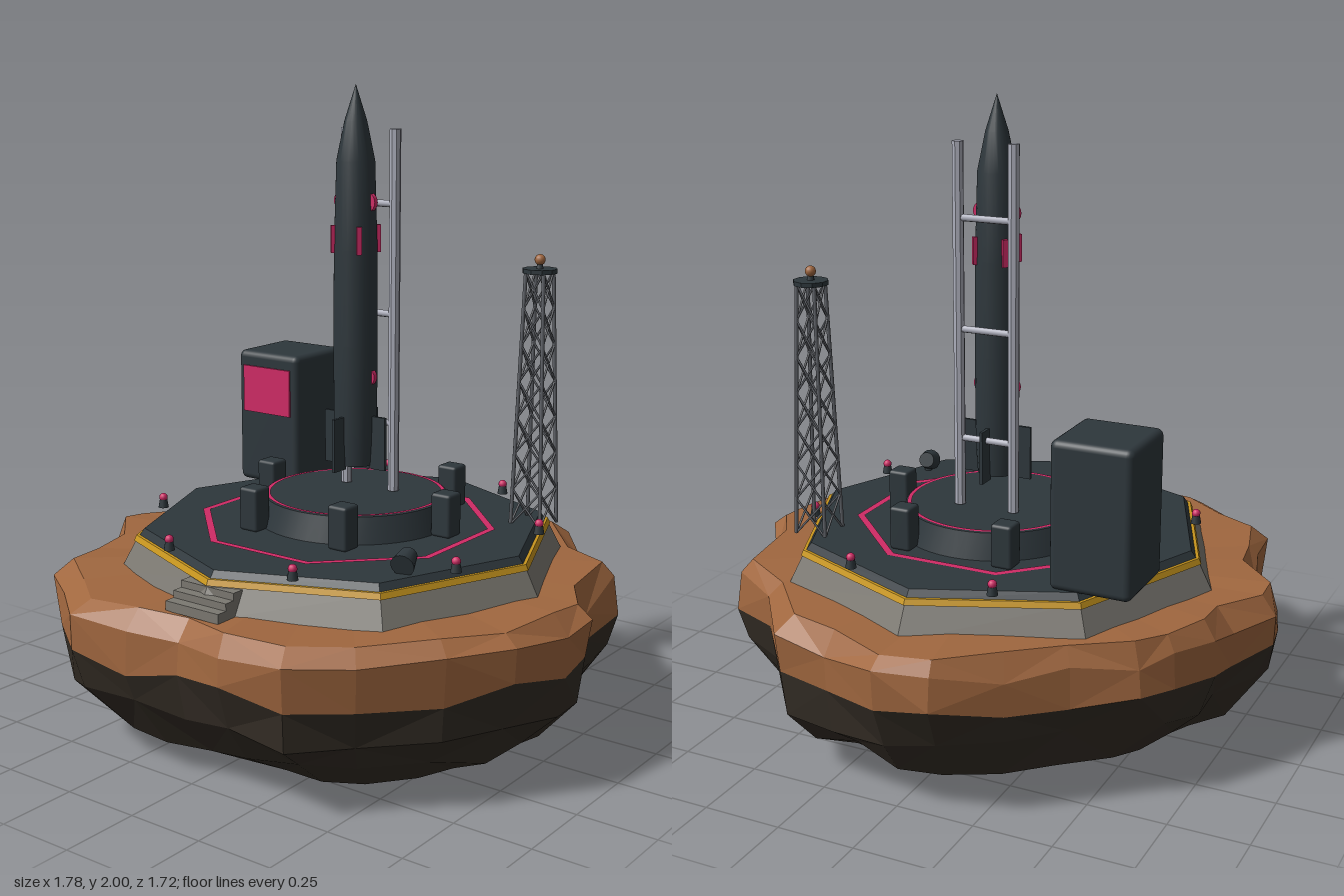
import * as THREE from 'three';
import { toCreasedNormals } from 'three/addons/utils/BufferGeometryUtils.js';
import { RoundedBoxGeometry } from 'three/addons/geometries/RoundedBoxGeometry.js';

const mat = (name, color) => Object.assign(new THREE.MeshStandardMaterial({ color }), { name });

export function createModel() {
  const M = {
    clay: mat('clay', 0xa0673f),
    darkRock: mat('dark rock', 0x352e26),
    concrete: mat('concrete', 0x7c7972),
    dark: mat('dark metal', 0x2e373c),
    pink: mat('pink', 0xd02b66),
    yellow: mat('yellow', 0xc8961e),
    silver: mat('silver', 0xacaebb),
    lattice: mat('lattice grey', 0x62656b),
  };
  const root = new THREE.Group();
  root.name = 'launchPadIsland';

  const add = (name, geo, material, x = 0, y = 0, z = 0, parent = root) => {
    const mesh = new THREE.Mesh(geo, material);
    mesh.name = name;
    mesh.position.set(x, y, z);
    parent.add(mesh);
    return mesh;
  };
  const group = (name, x, y, z) => {
    const g = new THREE.Group();
    g.name = name;
    g.position.set(x, y, z);
    root.add(g);
    return g;
  };
  const faceted = (geo) => {
    const g = geo.index ? geo.toNonIndexed() : geo;
    g.computeVertexNormals();
    return g;
  };
  const cyl = (rt, rb, h, n) => new THREE.CylinderGeometry(rt, rb, h, n);
  // thin rod between two points
  const rod = (name, a, b, r, material, parent) => {
    const d = b.clone().sub(a);
    const m = add(name, cyl(r, r, d.length(), 6), material, 0, 0, 0, parent);
    m.position.copy(a).add(b).multiplyScalar(0.5);
    m.quaternion.setFromUnitVectors(new THREE.Vector3(0, 1, 0), d.normalize());
    return m;
  };
  let seed = 7;
  const rand = () => {
    seed = (seed * 16807) % 2147483647;
    return seed / 2147483647 - 0.5;
  };

  // Floating rock: plan outline (x, z) scaled ring by ring
  const outline = [
    [0.01, -0.87], [-0.16, -0.85], [-0.33, -0.71], [-0.48, -0.58], [-0.65, -0.46], [-0.72, -0.36],
    [-0.79, -0.21], [-0.80, -0.09], [-0.90, 0.06], [-0.89, 0.15], [-0.76, 0.31], [-0.72, 0.46],
    [-0.69, 0.63], [-0.53, 0.75], [-0.37, 0.86], [-0.16, 0.85], [0.01, 0.82], [0.19, 0.85],
    [0.40, 0.83], [0.56, 0.70], [0.73, 0.51], [0.85, 0.34], [0.90, 0.12], [0.90, 0.00],
    [0.82, -0.14], [0.77, -0.42], [0.58, -0.53], [0.40, -0.76], [0.22, -0.80],
  ];
  const n = outline.length;
  // [height, scale, height jitter, scale jitter, x shift]
  const levels = [
    [0.0, 0.62, 0, 0.05, 0.05], [0.1, 0.82, 0.05, 0.05, 0.01], [0.22, 0.94, 0.06, 0.05, 0],
    [0.355, 0.985, 0.055, 0.03, 0], [0.46, 0.985, 0.05, 0.03, 0], [0.52, 0.93, 0.015, 0.03, 0],
  ];
  const rings = levels.map(([y, s, jy, js, dx]) => outline.map(([x, z]) => {
    const k = s + rand() * js;
    return [x * k + dx, y + rand() * jy, z * k];
  }));
  const rockGeometry = (rs, cap) => {
    const p = [];
    for (let r = 0; r < rs.length - 1; r++) {
      for (let i = 0; i < n; i++) {
        const j = (i + 1) % n;
        const [a, b, c, d] = [rs[r][i], rs[r][j], rs[r + 1][j], rs[r + 1][i]];
        if ((i + r) % 2) p.push(...a, ...b, ...c, ...a, ...c, ...d);
        else p.push(...a, ...b, ...d, ...b, ...c, ...d);
      }
    }
    for (let i = 0; i < n; i++) {
      const j = (i + 1) % n;
      if (cap === 'top') p.push(0, 0.525, 0, ...rs.at(-1)[i], ...rs.at(-1)[j]);
      else p.push(0, 0, 0, ...rs[0][j], ...rs[0][i]);
    }
    const g = new THREE.BufferGeometry();
    g.setAttribute('position', new THREE.Float32BufferAttribute(p, 3));
    g.computeVertexNormals();
    return g;
  };
  add('rockUnderside', rockGeometry(rings.slice(0, 4), 'bottom'), M.darkRock);
  add('rockTop', rockGeometry(rings.slice(3), 'top'), M.clay);

  // Octagonal pad
  const C = 0.02;
  add('foundation', faceted(cyl(0.66, 0.717, 0.11, 8)), M.concrete, C, 0.555, C);
  add('hazardStripe', faceted(cyl(0.664, 0.672, 0.018, 8)), M.yellow, C, 0.606, C);
  add('deck', faceted(cyl(0.638, 0.656, 0.024, 8)), M.dark, C, 0.624, C);
  const octagon = new THREE.RingGeometry(0.456, 0.48, 8, 1, Math.PI / 8).rotateX(-Math.PI / 2);
  add('deckOctagonLine', octagon, M.pink, C, 0.639, C);
  for (let i = 0; i < 3; i++) {
    const h = 0.03 + i * 0.022;
    add('step', new THREE.BoxGeometry(0.2, h, 0.04), M.concrete, C, 0.52 + h / 2, 0.737 - i * 0.034);
  }

  // Round launch base with six clamps
  const Z = -0.033;
  add('launchBase', toCreasedNormals(cyl(0.292, 0.318, 0.085, 48), 0.6), M.dark, C, 0.6745, Z);
  add('launchBaseRing', new THREE.RingGeometry(0.274, 0.287, 64).rotateX(-Math.PI / 2), M.pink, C, 0.72, Z);
  for (let i = 0; i < 6; i++) {
    const a = (i * Math.PI) / 3;
    add('clamp', new RoundedBoxGeometry(0.07, 0.138, 0.07, 2, 0.01), M.dark,
      C + 0.345 * Math.cos(a), 0.703, Z + 0.345 * Math.sin(a));
  }

  // Rocket
  const rocket = group('rocket', 0.022, 0, Z + 0.005);
  const profile = [[0, 0.815], [0.062, 0.815], [0.068, 0.9], [0.07, 1.2], [0.068, 1.5], [0.06, 1.77], [0.035, 1.89], [0, 2]];
  const hull = new THREE.LatheGeometry(profile.map(([x, y]) => new THREE.Vector2(x, y)), 24);
  add('hull', toCreasedNormals(hull, 0.6), M.dark, 0, 0, 0, rocket);
  for (let i = 0; i < 4; i++) {
    const a = (i * Math.PI) / 2;
    const fin = add('fin', new THREE.BoxGeometry(0.06, 0.17, 0.01), M.dark,
      0.087 * Math.cos(a), 0.89, -0.087 * Math.sin(a), rocket);
    fin.rotation.y = a;
    const b = a + Math.PI / 4;
    const plate = add('sidePlate', new THREE.BoxGeometry(0.016, 0.085, 0.016), M.pink,
      0.07 * Math.cos(b), 1.53, -0.07 * Math.sin(b), rocket);
    plate.rotation.y = b;
  }
  for (const s of [-1, 1]) {
    for (const y of [1.1, 1.645]) {
      add('sideDisc', cyl(0.03, 0.03, 0.016, 20).rotateX(Math.PI / 2), M.pink, s * 0.048, y, 0, rocket);
    }
  }

  // Gantry: two posts and three crossbars
  const gantry = group('gantry', 0.019, 0, -0.111);
  for (const s of [-1, 1]) {
    add('gantryPost', faceted(cyl(0.018, 0.018, 1.145, 8)), M.silver, s * 0.093, 1.2925, 0, gantry);
  }
  for (const y of [0.94, 1.29, 1.635]) {
    add('gantryBar', cyl(0.011, 0.011, 0.2, 8).rotateZ(Math.PI / 2), M.silver, 0, y, 0, gantry);
  }

  // Lattice tower
  const tower = group('latticeTower', 0.512, 0, -0.317);
  const corner = (i, t) => {
    const h = 0.053 - 0.022 * t;
    const [sx, sz] = [[1, 1], [1, -1], [-1, -1], [-1, 1]][i % 4];
    return new THREE.Vector3(sx * h, 0.632 + 0.805 * t, sz * h);
  };
  const bays = 7;
  for (let i = 0; i < 4; i++) {
    rod('towerLeg', corner(i, 0), corner(i, 1), 0.006, M.lattice, tower);
    for (let k = 0; k < bays; k++) {
      rod('towerBrace', corner(i, k / bays), corner(i + 1, (k + 1) / bays), 0.0035, M.lattice, tower);
      rod('towerBrace', corner(i + 1, k / bays), corner(i, (k + 1) / bays), 0.0035, M.lattice, tower);
    }
  }
  add('towerCap', faceted(cyl(0.055, 0.055, 0.014, 10)), M.dark, 0, 1.438, 0, tower);
  add('lampStem', cyl(0.008, 0.012, 0.02, 8), M.dark, 0, 1.453, 0, tower);
  add('towerLamp', new THREE.SphereGeometry(0.017, 16, 12), M.clay, 0, 1.472, 0, tower);

  // Control cabinet with screen
  add('cabinet', new RoundedBoxGeometry(0.256, 0.457, 0.256, 3, 0.022), M.dark, -0.47, 0.8615, -0.316);
  add('cabinetScreen', new THREE.BoxGeometry(0.2, 0.16, 0.009), M.pink, -0.47, 0.96, -0.186);

  // Beacons around the deck
  for (let i = 0; i < 8; i++) {
    const a = ((i + 0.5) * Math.PI) / 4;
    const b = group('beacon', C + 0.617 * Math.cos(a), 0.635, C + 0.617 * Math.sin(a));
    add('beaconBase', cyl(0.012, 0.017, 0.028, 12), M.dark, 0, 0.014, 0, b);
    add('beaconLight', new THREE.SphereGeometry(0.014, 12, 8), M.pink, 0, 0.033, 0, b);
  }

  // Floodlight
  const flood = group('floodlight', 0.475, 0.672, 0.345);
  add('floodlightStand', cyl(0.01, 0.014, 0.04, 8), M.dark, 0, -0.02, 0, flood);
  const head = add('floodlightHead', toCreasedNormals(cyl(0.026, 0.036, 0.06, 16), 0.6), M.dark, 0, 0, 0, flood);
  head.rotation.set(-1.25, 0, 0.25);

  return root;
}
